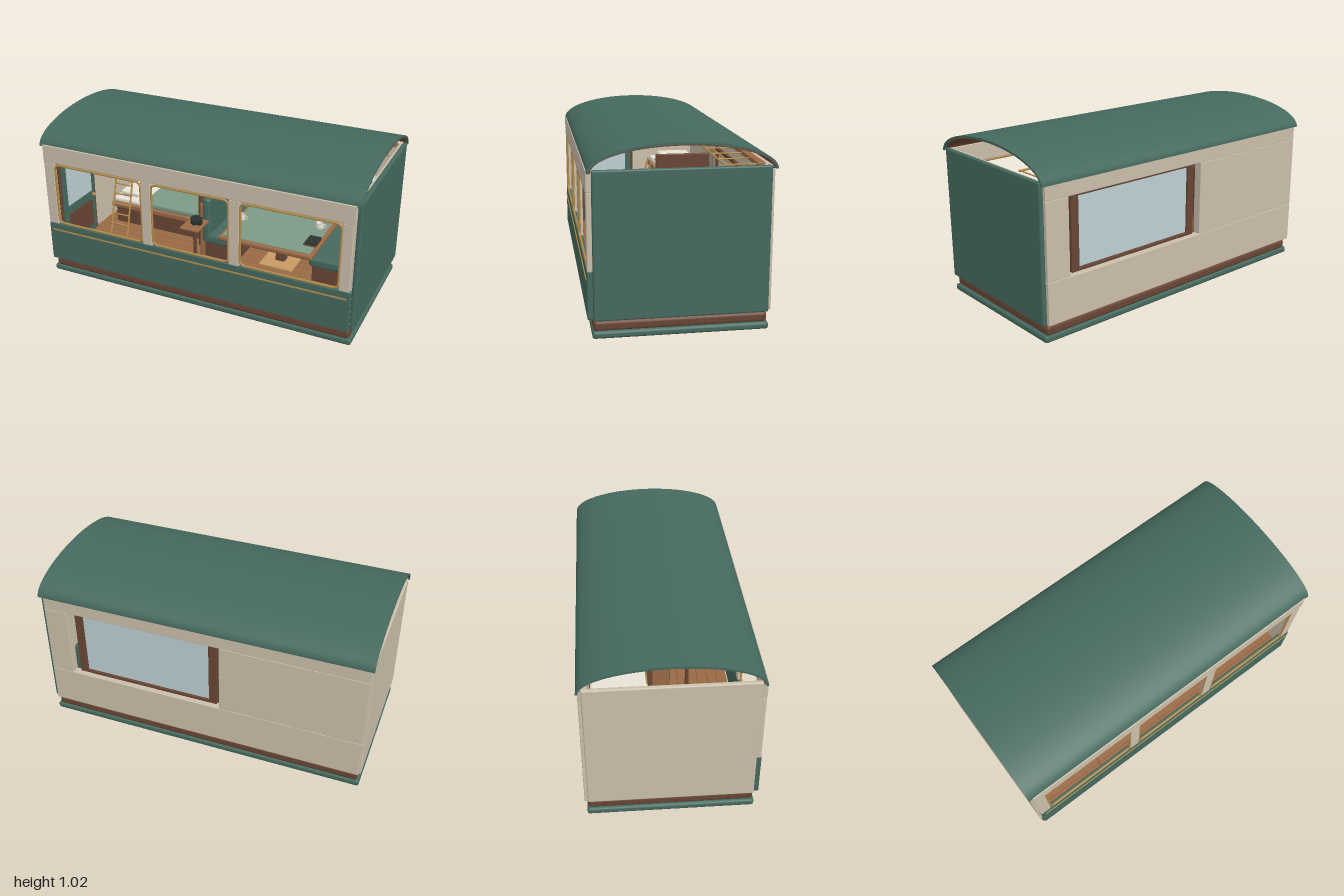
import * as THREE from 'three';
import { RoundedBoxGeometry } from 'three/addons/geometries/RoundedBoxGeometry.js';

const mat = (color) => new THREE.MeshStandardMaterial({ color, side: THREE.DoubleSide });
const GREEN = mat(0x45695e), TAN = mat(0xcbbfab), BROWN = mat(0x684535), GOLD = mat(0xb58d4a),
  WOOD = mat(0x9a6a45), GLASS = mat(0xbdd0d4), WHITE = mat(0xe8e2d6), SAGE = mat(0x7d9a86),
  CLOTH = mat(0x8d8374), DARK = mat(0x2b3432), PALE = mat(0xc79a62);

export function createModel() {
  const model = new THREE.Group();
  const add = (name, geo, m, parent = model) => {
    const mesh = new THREE.Mesh(geo, m);
    mesh.name = name;
    parent.add(mesh);
    return mesh;
  };
  // box given by its limits, with softened edges when r > 0
  const box = (name, m, x0, x1, y0, y1, z0, z1, r = 0.004, parent = model) => {
    const w = x1 - x0, h = y1 - y0, d = z1 - z0;
    const geo = r ? new RoundedBoxGeometry(w, h, d, 2, Math.min(r, w / 2.1, h / 2.1, d / 2.1))
      : new THREE.BoxGeometry(w, h, d);
    const mesh = add(name, geo, m, parent);
    mesh.position.set((x0 + x1) / 2, (y0 + y1) / 2, (z0 + z1) / 2);
    return mesh;
  };
  const rod = (name, m, a, b, r, parent = model) => {
    const p = new THREE.Vector3(...a), q = new THREE.Vector3(...b);
    const mesh = add(name, new THREE.CylinderGeometry(r, r, p.distanceTo(q), 10), m, parent);
    mesh.position.copy(p).lerp(q, 0.5);
    mesh.quaternion.setFromUnitVectors(new THREE.Vector3(0, 1, 0), q.sub(p).normalize());
    return mesh;
  };
  const group = (name) => {
    const g = new THREE.Group();
    g.name = name;
    model.add(g);
    return g;
  };

  // plinth and plank floor
  box('plinthSkirt', GREEN, -0.99, 0.99, 0, 0.04, -0.468, 0.462, 0.015);
  box('plinthBody', BROWN, -0.975, 0.975, 0.035, 0.092, -0.462, 0.456, 0.018);
  const floor = group('floor');
  for (let row = 0; row < 14; row++) {
    const z = -0.455 + row * 0.065;
    for (let i = 0; i < 4; i++)
      box('plank', WOOD, -0.97 + i * 0.485, -0.488 + i * 0.485, 0.085, 0.1, z, z + 0.062, 0, floor);
  }

  // end walls
  box('leftEndWall', GREEN, 0.972, 1, 0.1, 0.885, -0.462, 0.456, 0.01);
  box('leftEndLining', TAN, 0.962, 0.973, 0.1, 0.88, -0.45, 0.45, 0);
  box('rightEndWall', TAN, -0.995, -0.968, 0.1, 0.885, -0.462, 0.456, 0.008);

  // back wall around the wide window
  const back = group('backWall');
  box('lowerPanel', TAN, -0.985, 0.975, 0.103, 0.345, -0.48, -0.43, 0.004, back);
  box('upperPanel', TAN, -0.985, 0.975, 0.785, 0.885, -0.48, -0.43, 0.004, back);
  box('plainPanel', TAN, -0.985, -0.13, 0.345, 0.785, -0.48, -0.43, 0.004, back);
  box('endPanel', TAN, 0.83, 0.975, 0.345, 0.785, -0.48, -0.43, 0.004, back);
  const win = group('backWindow');
  box('pane', GLASS, -0.07, 0.76, 0.36, 0.77, -0.437, -0.43, 0, win);
  for (const x of [-0.105, 0.745]) box('frameSide', BROWN, x, x + 0.05, 0.345, 0.785, -0.45, -0.415, 0.004, win);
  for (const y of [0.345, 0.765]) box('frameRail', BROWN, -0.105, 0.795, y, y + 0.02, -0.45, -0.415, 0.004, win);

  // front wall with three openings
  const front = group('frontWall');
  box('lowerPanel', GREEN, -0.98, 0.975, 0.103, 0.36, 0.455, 0.485, 0.006, front);
  box('goldLine', GOLD, -0.955, 0.955, 0.31, 0.318, 0.483, 0.49, 0, front);
  box('header', TAN, -0.98, 0.975, 0.768, 0.88, 0.455, 0.485, 0.006, front);
  for (const [a, b] of [[-0.98, -0.91], [-0.31, -0.245], [0.25, 0.316], [0.905, 0.968]])
    box('post', TAN, a, b, 0.355, 0.77, 0.455, 0.483, 0.006, front);
  const loop = (x0, x1, y0, y1, r) => {
    const path = new THREE.CurvePath(), v = (x, y) => new THREE.Vector3(x, y, 0.476);
    const corners = [[x0, y0, 0, 1], [x0, y1, 1, 0], [x1, y1, 0, -1], [x1, y0, -1, 0]];
    corners.forEach(([x, y, dx, dy], i) => {
      const [nx, ny] = corners[(i + 1) % 4], [ex, ey] = corners[(i + 1) % 4].slice(2);
      path.add(new THREE.LineCurve3(v(x + dx * r, y + dy * r), v(nx - dx * r, ny - dy * r)));
      path.add(new THREE.QuadraticBezierCurve3(v(nx - dx * r, ny - dy * r), v(nx, ny), v(nx + ex * r, ny + ey * r)));
    });
    return path;
  };
  for (const [a, b] of [[-0.905, -0.312], [-0.242, 0.248], [0.32, 0.902]])
    add('openingTrim', new THREE.TubeGeometry(loop(a, b, 0.366, 0.758, 0.035), 160, 0.007, 6, true), GOLD, front);

  // arched roof with brown lining
  const arch = (name, m, half, top, base, t, len) => {
    const s = new THREE.Shape();
    s.moveTo(half, base);
    s.absellipse(0, base, half, top - base, 0, Math.PI, false);
    s.lineTo(t - half, base);
    s.absellipse(0, base, half - t, top - base - t, Math.PI, 0, true);
    s.closePath();
    const geo = new THREE.ExtrudeGeometry(s, { depth: len, bevelEnabled: false, curveSegments: 48 });
    geo.translate(0.004, 0, -len / 2).rotateY(Math.PI / 2);
    return add(name, geo, m);
  };
  arch('roof', GREEN, 0.485, 1.016, 0.868, 0.013, 2);
  arch('roofLining', BROWN, 0.473, 1.004, 0.868, 0.009, 1.97);

  // door on the right end wall
  const door = group('door');
  box('doorFrame', BROWN, -0.97, -0.957, 0.1, 0.79, -0.0, 0.38, 0.004, door);
  box('doorLeaf', GREEN, -0.962, -0.948, 0.105, 0.77, 0.02, 0.36, 0.004, door);
  box('doorPane', GLASS, -0.95, -0.944, 0.4, 0.71, 0.06, 0.32, 0, door);
  box('doorPanel', BROWN, -0.95, -0.943, 0.15, 0.34, 0.06, 0.32, 0.003, door);
  add('doorKnob', new THREE.SphereGeometry(0.012, 12, 8), GOLD, door).position.set(-0.938, 0.37, 0.05);

  // bunk beds
  const bunks = group('bunks');
  for (const [y, blanket] of [[0.22, SAGE], [0.525, WHITE]]) {
    box('bedFrame', WOOD, -0.9, -0.215, y, y + 0.035, -0.43, -0.1, 0.008, bunks);
    box('mattress', WHITE, -0.885, -0.225, y + 0.035, y + 0.072, -0.42, -0.11, 0.015, bunks);
    box('blanket', blanket, -0.66, -0.222, y + 0.04, y + 0.08, -0.425, -0.105, 0.015, bunks);
    box('pillow', WHITE, -0.86, -0.72, y + 0.07, y + 0.108, -0.38, -0.16, 0.018, bunks);
  }
  box('bedBase', BROWN, -0.88, -0.23, 0.1, 0.22, -0.43, -0.13, 0.004, bunks);
  rod('guardRail', GOLD, [-0.53, 0.665, -0.11], [-0.21, 0.665, -0.11], 0.005, bunks);
  rod('guardRail', GOLD, [-0.62, 0.615, -0.11], [-0.21, 0.615, -0.11], 0.004, bunks);
  for (const x of [-0.53, -0.22]) rod('guardPost', GOLD, [x, 0.55, -0.11], [x, 0.665, -0.11], 0.005, bunks);
  const ladder = group('ladder');
  for (const x of [-0.825, -0.7]) rod('ladderRail', GOLD, [x, 0.1, 0.04], [x, 0.585, -0.095], 0.006, ladder);
  for (let i = 1; i < 7; i++) {
    const y = 0.1 + i * 0.066, z = 0.04 - i * 0.0184;
    rod('rung', GOLD, [-0.825, y, z], [-0.7, y, z], 0.005, ladder);
  }
  for (const y of [0.43, 0.725]) {
    add('readingLamp', new THREE.SphereGeometry(0.027, 16, 12), mat(0xead9a8)).position.set(-0.835, y, -0.38);
    rod('lampBracket', GOLD, [-0.835, y - 0.035, -0.38], [-0.835, y - 0.02, -0.38], 0.022);
    rod('lampArm', GOLD, [-0.835, y - 0.03, -0.43], [-0.835, y - 0.03, -0.38], 0.005);
  }
  box('partition', BROWN, -0.207, -0.185, 0.1, 0.73, -0.43, -0.05, 0.006);

  // facing benches
  for (const side of [-1, 1]) {
    const bench = group(side < 0 ? 'rightBench' : 'leftBench');
    bench.position.x = 0.36;
    const b = (n, m, a, c, y0, y1, z0, z1, r) =>
      box(n, m, side < 0 ? -c : a, side < 0 ? -a : c, y0, y1, z0, z1, r, bench);
    b('benchBase', BROWN, 0.25, 0.47, 0.1, 0.2, -0.42, 0.05, 0.004);
    b('seatCushion', GREEN, 0.23, 0.46, 0.2, 0.265, -0.42, 0.065, 0.02);
    b('seatBack', GREEN, 0.43, 0.485, 0.2, 0.51, -0.42, 0.065, 0.02);
    b('backBoard', WOOD, 0.48, 0.5, 0.1, 0.47, -0.42, 0.06, 0.004);
  }

  // table and cups
  const table = group('table');
  box('tableEdge', WOOD, 0.06, 0.66, 0.335, 0.368, -0.41, 0.22, 0.012, table);
  box('tableTop', SAGE, 0.08, 0.64, 0.36, 0.374, -0.39, 0.2, 0.004, table);
  box('pedestal', BROWN, 0.33, 0.39, 0.1, 0.34, -0.12, -0.06, 0.005, table);
  box('pedestalFoot', PALE, 0.25, 0.47, 0.1, 0.118, -0.2, 0.02, 0.005, table);
  const cupProfile = [[0, 0], [0.022, 0], [0.026, 0.008], [0.026, 0.04], [0.022, 0.04], [0.021, 0.008], [0, 0.008]]
    .map(([x, y]) => new THREE.Vector2(x, y));
  for (const [x, z] of [[0.108, -0.02], [0.59, -0.12]]) {
    const cup = group('cup');
    cup.position.set(x, 0.374, z);
    add('cupBody', new THREE.LatheGeometry(cupProfile, 20), WHITE, cup);
    add('cupHandle', new THREE.TorusGeometry(0.012, 0.003, 6, 14), WHITE, cup).position.set(0.03, 0.021, 0);
  }
  for (const i of [0, 1]) box('book', i ? DARK : BROWN, 0.57 + i * 0.01, 0.65, 0.374 + i * 0.011, 0.385 + i * 0.011, 0.02, 0.12, 0.002);

  // side table with camera
  const side = group('sideTable');
  box('sideTop', WOOD, -0.185, -0.06, 0.37, 0.385, 0.09, 0.25, 0.005, side);
  rod('sideLeg', BROWN, [-0.12, 0.1, 0.17], [-0.12, 0.375, 0.17], 0.012, side);
  box('sideFoot', BROWN, -0.17, -0.07, 0.1, 0.113, 0.12, 0.22, 0.004, side);
  box('cameraBody', DARK, -0.145, -0.075, 0.385, 0.433, 0.15, 0.185, 0.006, side);
  box('cameraFinder', DARK, -0.125, -0.095, 0.43, 0.443, 0.155, 0.18, 0.003, side);
  rod('cameraLens', DARK, [-0.11, 0.41, 0.18], [-0.11, 0.41, 0.207], 0.017, side);

  // pleated curtains drawn in at the tie
  for (const [cx, dir] of [[-0.085, -1], [0.765, 1]]) {
    const geo = new THREE.PlaneGeometry(0.12, 0.41, 60, 20), p = geo.attributes.position;
    for (let i = 0; i < p.count; i++) {
      const u = p.getX(i) / 0.12, y = p.getY(i);
      const w = 0.12 - 0.03 * Math.exp(-((y + 0.06) ** 2) / 0.006);
      p.setXYZ(i, u * w + dir * (0.12 - w) / 2, y, 0.01 * Math.sin(u * 44));
    }
    geo.computeVertexNormals();
    add('curtain', geo, CLOTH).position.set(cx, 0.565, -0.395);
    box('curtainTie', GOLD, cx - 0.045 + dir * 0.015, cx + 0.045 + dir * 0.015, 0.5, 0.511, -0.408, -0.382, 0.003);
  }
  rod('curtainRod', GOLD, [-0.17, 0.775, -0.395], [0.85, 0.775, -0.395], 0.006);

  // luggage rack below the roof
  const rack = group('luggageRack');
  box('rackBoard', WOOD, -0.17, 0.95, 0.87, 0.894, -0.435, -0.392, 0.006, rack);
  rod('rackRail', GOLD, [-0.17, 0.886, -0.22], [0.95, 0.886, -0.22], 0.006, rack);
  for (let i = 0; i < 8; i++) {
    const x = -0.15 + i * 0.155;
    rod('rackBar', GOLD, [x, 0.882, -0.41], [x, 0.882, -0.22], 0.004, rack);
  }
  return model;
}
